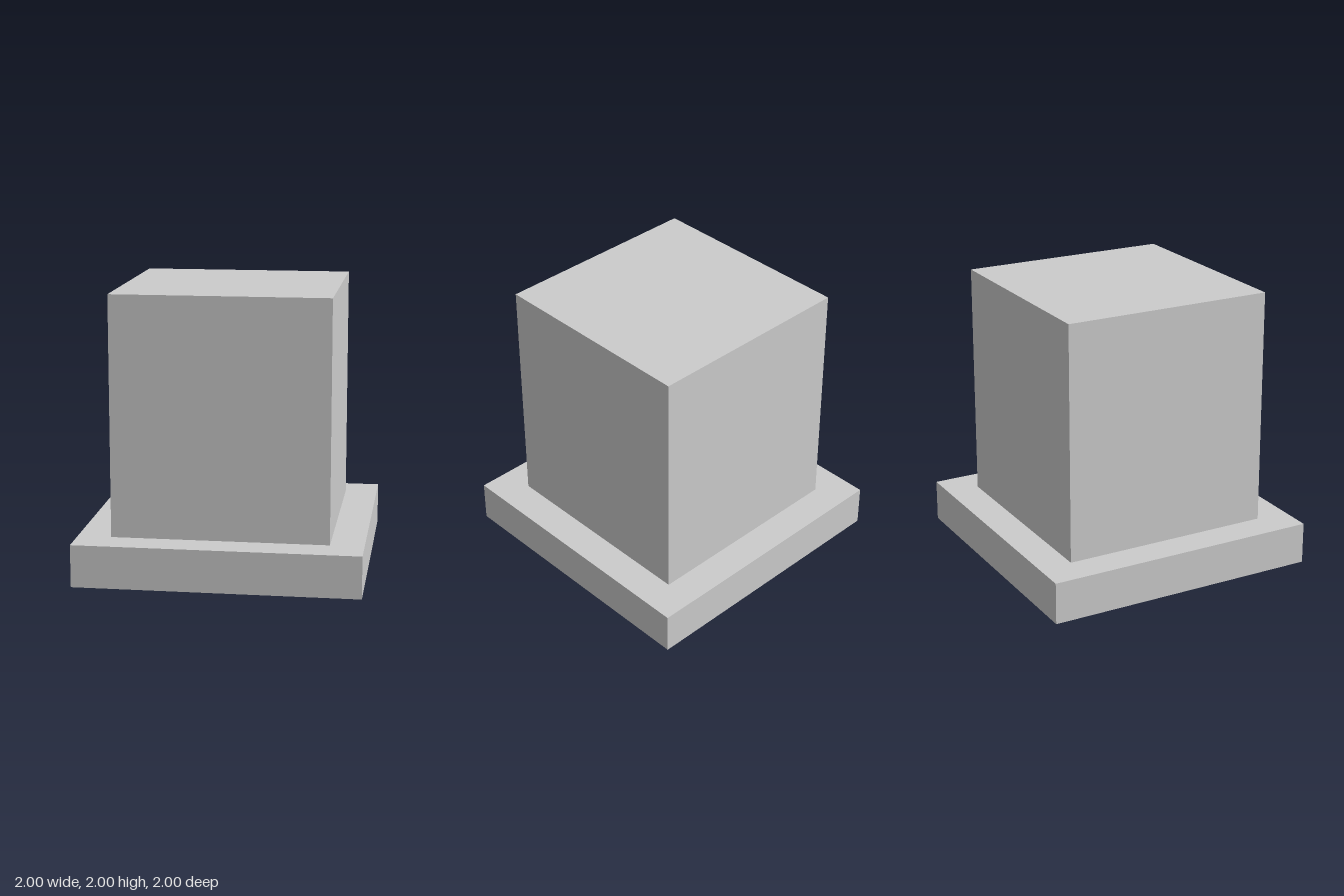
import * as THREE from 'three';

const BASE_HEIGHT = 0.3;
const TOTAL_HEIGHT = 2;

export function createModel() {
  const model = new THREE.Group();
  model.name = 'pedestal';
  const material = new THREE.MeshStandardMaterial({ color: 0xcccccc });

  // Square block standing on the given height
  function addBlock(name, width, height, bottom) {
    const mesh = new THREE.Mesh(new THREE.BoxGeometry(width, height, width), material);
    mesh.name = name;
    mesh.position.y = bottom + height / 2;
    model.add(mesh);
  }

  // Wide, low plinth
  addBlock('base', 2, BASE_HEIGHT, 0);
  // Tall block centred on the plinth
  addBlock('block', 1.525, TOTAL_HEIGHT - BASE_HEIGHT, BASE_HEIGHT);

  return model;
}
